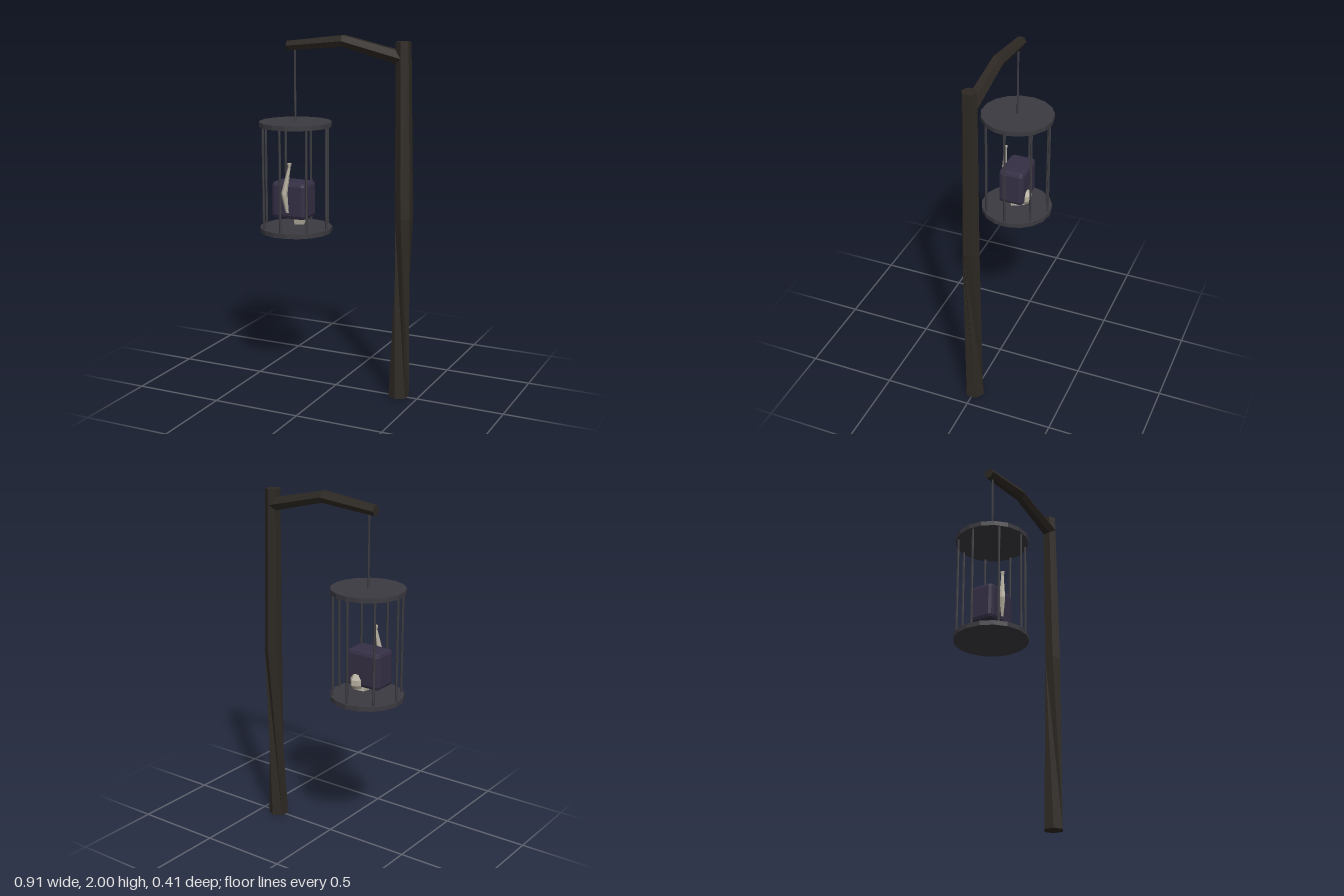
import * as THREE from 'three';
import { RoundedBoxGeometry } from 'three/addons/geometries/RoundedBoxGeometry.js';

const mat = (color) => new THREE.MeshStandardMaterial({ color, flatShading: true });
const wood = mat(0x2d2823), iron = mat(0x3a3a40), cloth = mat(0x352f45), bone = mat(0xb5af9f);

// Capped faceted limb through rings [x, y, z, radius, twist]; u and z span the ring plane.
function limb(rings, u, sides = 6) {
  const pos = [], index = [];
  rings.forEach(([x, y, z, r, twist = 0]) => {
    for (let i = 0; i < sides; i++) {
      const a = (i / sides) * Math.PI * 2 + twist;
      const s = Math.sin(a) * r;
      pos.push(x + u[0] * s, y + u[1] * s, z + Math.cos(a) * r);
    }
  });
  const last = (rings.length - 1) * sides;
  for (let k = 0; k < last; k += sides) {
    for (let i = 0; i < sides; i++) {
      const a = k + i, b = k + (i + 1) % sides;
      index.push(a, b, b + sides, a, b + sides, a + sides);
    }
  }
  for (let i = 1; i < sides - 1; i++) {
    index.push(0, i + 1, i, last, last + i, last + i + 1);
  }
  const g = new THREE.BufferGeometry();
  g.setAttribute('position', new THREE.Float32BufferAttribute(pos, 3));
  g.setIndex(index);
  g.computeVertexNormals();
  return g;
}

export function createModel() {
  const model = new THREE.Group();
  model.name = 'hangingCage';
  const add = (name, geometry, material, x = 0, y = 0, z = 0) => {
    const m = new THREE.Mesh(geometry, material);
    m.name = name;
    m.position.set(x, y, z);
    model.add(m);
    return m;
  };

  // Post, pinched by the twist in its lower half
  const twist = -Math.PI * 2 / 3;
  add('post', limb([
    [0.39, 0, 0, 0.058],
    [0.408, 1.03, 0, 0.05, twist],
    [0.392, 1.975, 0, 0.042, twist],
  ], [1, 0, 0]), wood);

  // Bent arm, running from the post to its tip
  add('arm', limb([
    [0.4, 1.885, 0, 0.042],
    [0.045, 1.969, 0, 0.036],
    [-0.292, 1.934, 0, 0.03],
  ], [0, 1, 0]), wood);

  // Cage: rope, two plates and eight bars
  const cx = -0.25;
  add('rope', new THREE.CylinderGeometry(0.006, 0.006, 0.43, 6), iron, cx, 1.725, 0);
  [['cageFloor', 0.903], ['cageRoof', 1.503]].forEach(([name, y]) => {
    add(name, new THREE.CylinderGeometry(0.205, 0.205, 0.026, 17), iron, cx, y, 0).rotation.y = Math.PI;
  });
  const bar = new THREE.CylinderGeometry(0.007, 0.007, 0.6, 6);
  for (let i = 0; i < 8; i++) {
    const a = i * Math.PI / 4;
    add('cageBar', bar, iron, cx + 0.19 * Math.cos(a), 1.203, 0.19 * Math.sin(a));
  }

  // Remains: wrapped torso, skull with jaw, and a raised arm bone
  add('torso', new RoundedBoxGeometry(0.212, 0.21, 0.15, 1, 0.022), cloth, -0.262, 1.075, 0.004);
  add('skull', new THREE.SphereGeometry(0.05, 7, 5), bone, -0.225, 1.0, -0.055).scale.set(0.8, 1, 1);
  add('jaw', new THREE.BoxGeometry(0.055, 0.04, 0.08), bone, -0.23, 0.96, -0.015).rotation.set(0.2, 0.2, 0);
  add('armBone', limb([
    [-0.265, 1.01, 0.075, 0.011],
    [-0.278, 1.115, 0.088, 0.018],
    [-0.254, 1.265, 0.073, 0.008],
    [-0.252, 1.29, 0.072, 0.013],
  ], [1, 0, 0]), bone);

  return model;
}
